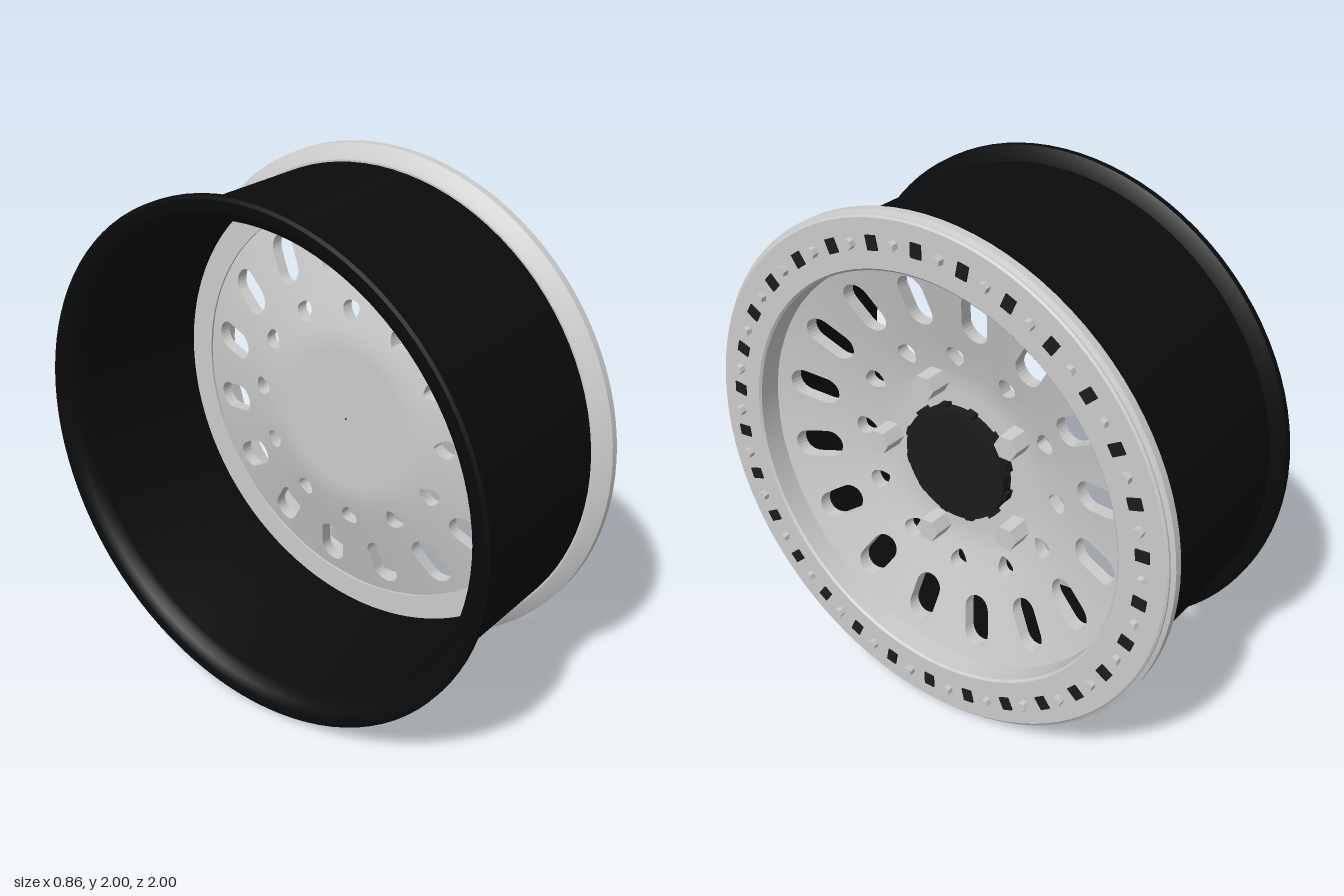
import * as THREE from 'three';
import { mergeGeometries, toCreasedNormals } from 'three/addons/utils/BufferGeometryUtils.js';

const grey = new THREE.MeshStandardMaterial({ color: 0xcccccc });
const black = new THREE.MeshStandardMaterial({ color: 0x0a0b0c });
const charcoal = new THREE.MeshStandardMaterial({ color: 0x191b1d });
const TAU = Math.PI * 2;

// The wheel is built with its axis along z and its face towards +z, then turned to face +x.
function add(parent, name, geometry, material) {
  const mesh = new THREE.Mesh(geometry, material);
  mesh.name = name;
  parent.add(mesh);
  return mesh;
}

// Closed [radius, z] profile turned around z
function turned(profile) {
  const points = [...profile, profile[0]].map(([r, z]) => new THREE.Vector2(r, z));
  const g = new THREE.LatheGeometry(points, 96).rotateX(Math.PI / 2);
  return toCreasedNormals(g, 0.4);
}

// Prism along z between two heights
function prism(radius, z0, z1, sides, topRadius = radius) {
  const g = new THREE.CylinderGeometry(topRadius, radius, z1 - z0, sides);
  g.rotateX(Math.PI / 2).rotateZ(Math.PI / 2).translate(0, 0, (z0 + z1) / 2);
  return toCreasedNormals(g, 0.5);
}

// Copies of one part in a circle
function ring(parent, name, geometry, material, count, radius, start) {
  for (let i = 0; i < count; i++) {
    const a = start + (i * TAU) / count;
    const mesh = add(parent, name, geometry, material);
    mesh.position.set(radius * Math.cos(a), radius * Math.sin(a), 0);
    mesh.rotation.z = a;
  }
}

// Dished face: flat hub, a soft bend, then a cone
const HUB = 0.185, FLAT = 0.28, BEND = 0.12, SLOPE = 0.27, THICK = 0.05;
const slope = (r) => SLOPE * THREE.MathUtils.clamp((r - FLAT) / BEND, 0, 1);
const dish = (r) => HUB + (r < FLAT + BEND
  ? 0.5 * slope(r) * Math.max(r - FLAT, 0)
  : SLOPE * (r - FLAT - BEND / 2));

// Ring of equal sectors that follow the dish, each with an optional hole
function sectors(count, r0, r1, hole, start, curveSegments) {
  const h = Math.PI / count;
  const shape = new THREE.Shape();
  shape.absarc(0, 0, r1, -h, h, false);
  shape.absarc(0, 0, r0, h, -h, true);
  shape.closePath();
  if (hole) shape.holes.push(hole);
  const flat = new THREE.ExtrudeGeometry(shape, { depth: THICK, bevelEnabled: false, curveSegments });
  const p = flat.attributes.position, n = flat.attributes.normal;
  const position = [], normal = [];
  const inside = (i) => {
    const r = Math.hypot(p.getX(i), p.getY(i));
    const a = Math.abs(Math.atan2(p.getY(i), p.getX(i)));
    return r > r0 + 1e-4 && r < r1 - 1e-4 && a < h - 1e-4;
  };
  for (let t = 0; t < p.count; t += 3) {
    // Walls where sectors meet are left out
    const isWall = Math.abs(n.getZ(t)) < 0.5;
    if (isWall && ![t, t + 1, t + 2].some(inside)) continue;
    for (let i = t; i < t + 3; i++) {
      const x = p.getX(i), y = p.getY(i), r = Math.hypot(x, y);
      position.push(x, y, p.getZ(i) - THICK + dish(r));
      const v = new THREE.Vector3().fromBufferAttribute(n, i);
      if (!isWall) v.set((-slope(r) * x) / r, (-slope(r) * y) / r, 1).normalize().multiplyScalar(Math.sign(n.getZ(i)));
      normal.push(v.x, v.y, v.z);
    }
  }
  const g = new THREE.BufferGeometry();
  g.setAttribute('position', new THREE.Float32BufferAttribute(position, 3));
  g.setAttribute('normal', new THREE.Float32BufferAttribute(normal, 3));
  return Array.from({ length: count }, (_, i) => g.clone().rotateZ(start + (i * TAU) / count));
}

function createFace() {
  // Teardrop pointing at the hub
  const drop = new THREE.Path();
  drop.moveTo(0.392, -0.005);
  drop.quadraticCurveTo(0.415, -0.034, 0.44, -0.037);
  drop.quadraticCurveTo(0.47, -0.036, 0.47, 0);
  drop.quadraticCurveTo(0.47, 0.036, 0.44, 0.037);
  drop.quadraticCurveTo(0.415, 0.034, 0.392, 0.005);
  drop.closePath();

  // Long radial slot
  const slot = new THREE.Path();
  slot.absarc(0.687, 0, 0.054, -Math.PI / 2, Math.PI / 2, false);
  slot.absarc(0.6, 0, 0.054, Math.PI / 2, Math.PI * 1.5, false);
  slot.closePath();

  return mergeGeometries([
    ...sectors(12, 0.004, 0.28, null, 0, 8),
    ...sectors(12, 0.28, 0.33, null, 0, 8),
    ...sectors(12, 0.33, 0.375, null, 0, 8),
    ...sectors(12, 0.375, 0.51, drop, 0, 8),
    ...sectors(16, 0.51, 0.81, slot, Math.PI / 16, 6),
  ]);
}

export function createModel() {
  const model = new THREE.Group();
  model.name = 'wheel';
  const wheel = new THREE.Group();
  wheel.name = 'wheelAssembly';
  wheel.rotation.y = Math.PI / 2;
  wheel.position.y = 1;
  model.add(wheel);

  // Barrel with the rounded rear flange
  add(wheel, 'barrel', turned([
    [0.935, -0.424], [0.95, -0.43], [0.98, -0.43], [0.992, -0.424], [0.992, -0.4], [0.98, -0.39],
    [0.938, -0.375], [0.938, 0.315], [0.895, 0.315], [0.895, -0.36], [0.902, -0.385], [0.918, -0.41],
  ]), black);

  // Front clamping ring
  add(wheel, 'clampRing', turned([
    [0.795, 0.25], [0.9, 0.25], [0.9, 0.31], [0.945, 0.31], [0.96, 0.318], [0.99, 0.342],
    [1.0, 0.35], [1.0, 0.38], [0.985, 0.388], [0.985, 0.396], [0.978, 0.402],
    [0.803, 0.402], [0.795, 0.394],
  ]), grey);

  add(wheel, 'face', createFace(), grey);

  // Bolts and dark inserts alternating around the ring
  ring(wheel, 'ringBolt', prism(0.019, 0.395, 0.426, 6), grey, 30, 0.893, 0);
  const insert = new THREE.BoxGeometry(0.052, 0.043, 0.02).translate(0, 0, 0.398);
  ring(wheel, 'ringInsert', insert, charcoal, 30, 0.893, Math.PI / 30);

  // Lug nuts, kept upright
  const lug = prism(0.05, 0.165, 0.275, 6, 0.048);
  for (let i = 0; i < 5; i++) {
    const a = Math.PI + (i * TAU) / 5;
    add(wheel, 'lugNut', lug, grey).position.set(0.32 * Math.cos(a), 0.32 * Math.sin(a), 0);
  }

  // Centre cap with teeth around its rim
  add(wheel, 'centreCap', prism(0.22, 0.15, 0.23, 48), charcoal);
  const tooth = new THREE.BoxGeometry(0.04, 0.036, 0.045).translate(0, 0, 0.2);
  ring(wheel, 'capTooth', tooth, charcoal, 12, 0.212, Math.PI / 12);

  return model;
}
